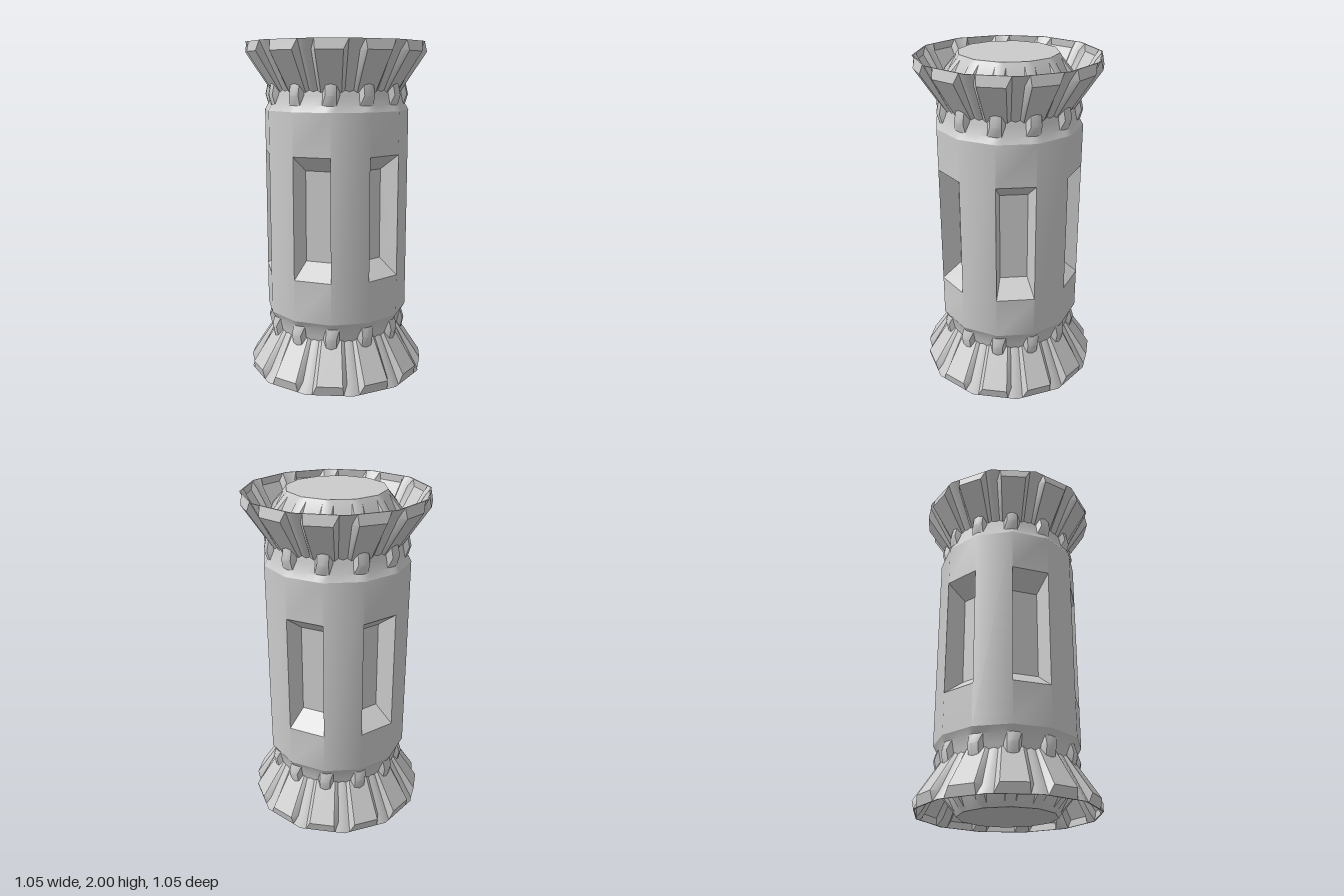
import * as THREE from 'three';
import { toCreasedNormals } from 'three/addons/utils/BufferGeometryUtils.js';

const SIDES = 12;
const STEP = (Math.PI * 2) / SIDES;
const rad = THREE.MathUtils.degToRad;
const grey = new THREE.MeshStandardMaterial({ color: 0xcccccc });

const polar = (r, a, y) => [r * Math.sin(a), y, r * Math.cos(a)];

// Quad with corners listed counter-clockwise from outside
function addQuad(out, a, b, c, d) {
  out.push(...a, ...b, ...c, ...a, ...c, ...d);
}

function toGeometry(positions) {
  const geometry = new THREE.BufferGeometry();
  geometry.setAttribute('position', new THREE.Float32BufferAttribute(positions, 3));
  return toCreasedNormals(geometry, 0.6);
}

// Skin a stack of closed rings
function loft(rings) {
  const out = [];
  for (let i = 0; i < rings.length - 1; i++) {
    const low = rings[i], high = rings[i + 1], n = low.length;
    for (let j = 0; j < n; j++) {
      const k = (j + 1) % n;
      addQuad(out, low[j], low[k], high[k], high[j]);
    }
  }
  return toGeometry(out);
}

// Flare ring: flat sides, each with a bevelled panel pushed out by h
function flareRing([y, apothem, h]) {
  const side = [[-Math.tan(STEP / 2), 0], [-0.2, 0], [-0.155, h], [0.155, h], [0.2, 0]];
  const ring = [];
  for (let k = 0; k < SIDES; k++) {
    for (const [u, lift] of side) {
      const r = Math.hypot(apothem + lift, u * apothem);
      ring.push(polar(r, k * STEP + Math.atan2(u * apothem, apothem + lift), y));
    }
  }
  return ring;
}

// Neck ring: twelve-sided, with a narrow rib raised by h on every corner
function neckRing([y, radius, h]) {
  const stations = [[-15, 0], [-7, 0], [-4.3, h], [0, h], [4.3, h], [7, 0]];
  const ring = [];
  for (let k = 0; k < SIDES; k++) {
    for (const [deg, lift] of stations) {
      const flat = radius * Math.cos(STEP / 2) / Math.cos(STEP / 2 - Math.abs(rad(deg)));
      ring.push(polar(flat + lift, k * STEP + rad(deg), y));
    }
  }
  return ring;
}

// Twelve-sided barrel with a bevelled recess in every second side
function barrelGeometry() {
  const out = [], R = 0.428, top = 0.6;
  const rect = (left, right, h) => [
    polar(...left, -h), polar(...right, -h), polar(...right, h), polar(...left, h),
  ];
  const floorR = Math.hypot(0.3, 0.08), floorA = Math.atan2(0.08, 0.3);
  for (let k = 0; k < SIDES; k++) {
    const a = k * STEP, b = a + STEP, mid = a + STEP / 2;
    const wall = rect([R, a], [R, b], top);
    if (k % 2) {
      addQuad(out, ...wall);
      continue;
    }
    const hole = rect([R, a], [R, b], 0.355);
    const floor = rect([floorR, mid - floorA], [floorR, mid + floorA], 0.265);
    addQuad(out, wall[0], wall[1], hole[1], hole[0]);
    addQuad(out, hole[3], hole[2], wall[2], wall[3]);
    for (let i = 0; i < 4; i++) {
      const j = (i + 1) % 4;
      addQuad(out, hole[i], hole[j], floor[j], floor[i]);
    }
    addQuad(out, ...floor);
  }
  return toGeometry(out);
}

function addMesh(parent, name, geometry) {
  const mesh = new THREE.Mesh(geometry, grey);
  mesh.name = name;
  parent.add(mesh);
  return mesh;
}

// One end: ribbed neck, flat cap and flared collar (heights from mid-barrel)
function createEnd(name) {
  const end = new THREE.Group();
  end.name = name;
  addMesh(end, 'ribbedNeck', loft([
    [0.6, 0.428, 0], [0.635, 0.408, 0], [0.69, 0.396, 0.028],
    [0.78, 0.378, 0.026], [0.9, 0.343, 0.022], [0.98, 0.298, 0], [1, 0.285, 0],
  ].map(neckRing)));

  const cap = addMesh(end, 'endCap', new THREE.CircleGeometry(0.285, SIDES));
  cap.rotation.x = -Math.PI / 2;
  cap.position.y = 1;

  // Up the outside, over the rim and down the inside
  addMesh(end, 'flaredCollar', loft([
    [0.7, 0.36, 0.014], [0.93, 0.482, 0.043], [0.987, 0.512, 0],
    [0.987, 0.505, 0], [0.945, 0.476, 0.032], [0.7, 0.345, 0.014],
  ].map(flareRing)));
  return end;
}

export function createModel() {
  const model = new THREE.Group();
  model.name = 'canister';
  const centre = new THREE.Group();
  centre.name = 'canisterBody';
  centre.position.y = 1;
  model.add(centre);

  addMesh(centre, 'barrel', barrelGeometry());
  centre.add(createEnd('topEnd'));
  const bottom = createEnd('bottomEnd');
  bottom.rotation.z = Math.PI;
  centre.add(bottom);
  return model;
}
